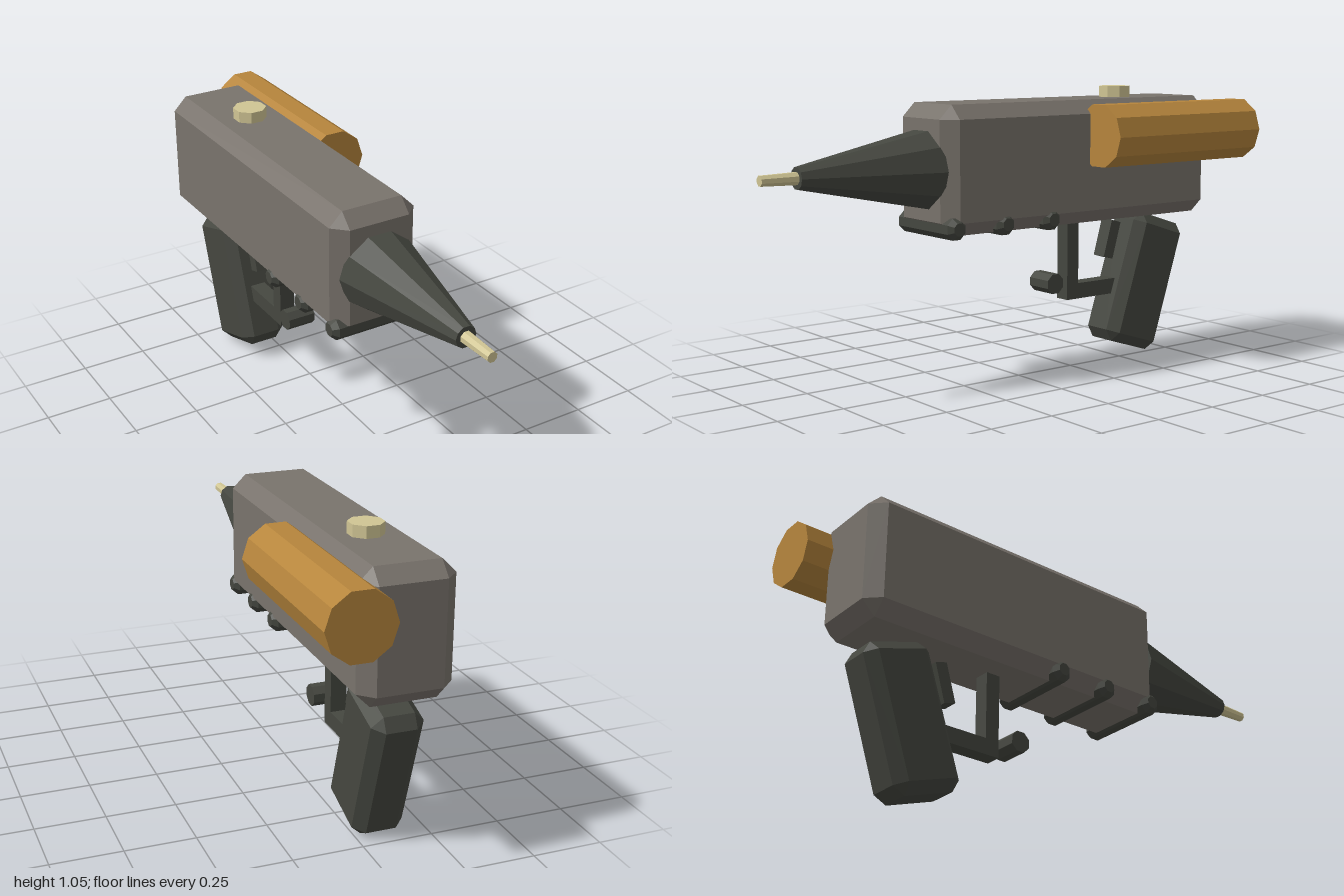
import * as THREE from 'three';
import { ConvexGeometry } from 'three/addons/geometries/ConvexGeometry.js';

const CX = -0.081; // centre line of the tool; the canister hangs off its left side

const mat = (name, color) => new THREE.MeshStandardMaterial({ name, color, flatShading: true });

// Box with every edge and corner cut by a flat chamfer
function chamferBox(w, h, d, c) {
  const pts = [];
  for (const sx of [-1, 1]) for (const sy of [-1, 1]) for (const sz of [-1, 1]) {
    const x = w / 2, y = h / 2, z = d / 2;
    pts.push(
      new THREE.Vector3(sx * x, sy * (y - c), sz * (z - c)),
      new THREE.Vector3(sx * (x - c), sy * y, sz * (z - c)),
      new THREE.Vector3(sx * (x - c), sy * (y - c), sz * z));
  }
  return new ConvexGeometry(pts);
}

// Faceted turned solid from [radius, height] pairs, around y
function turned(profile, sides, start) {
  return new THREE.LatheGeometry(profile.map(([r, y]) => new THREE.Vector2(r, y)), sides, start);
}

export function createModel() {
  const grey = mat('bodyGrey', 0x79736c);
  const dark = mat('darkGunmetal', 0x454740);
  const amber = mat('amber', 0xb6853c);
  const brass = mat('paleBrass', 0xd0c594);

  const model = new THREE.Group();
  model.name = 'pistolTool';
  const add = (name, geometry, material, x, y, z) => {
    const mesh = new THREE.Mesh(geometry, material);
    mesh.name = name;
    mesh.position.set(x, y, z);
    model.add(mesh);
    return mesh;
  };

  // Main housing
  add('body', chamferBox(0.33, 0.46, 1.27, 0.05), grey, CX, 0.785, -0.265);

  // Tapered nose and its thin tip
  const nose = turned([[0, 0], [0.147, 0], [0.039, 0.51], [0, 0.51]], 10, Math.PI / 2);
  add('noseCone', nose.rotateX(Math.PI / 2), dark, CX, 0.785, 0.355);
  const tip = turned([[0, 0], [0.023, 0], [0.019, 0.14], [0, 0.14]], 8, Math.PI / 8);
  add('noseTip', tip.rotateX(Math.PI / 2), brass, CX, 0.785, 0.86);

  // Side canister
  const can = turned([[0, 0], [0.12, 0], [0.12, 0.73], [0, 0.73]], 10, Math.PI / 2);
  add('canister', can.rotateX(Math.PI / 2), amber, 0.131, 0.886, -1);

  // Top button
  const button = turned([[0, 0], [0.062, 0], [0.062, 0.052], [0, 0.052]], 8, Math.PI / 8);
  add('topButton', button, brass, CX, 1.005, -0.534);

  // Cross rods along the underside
  for (const z of [0.328, 0.115, -0.096]) {
    const rod = turned([[0, -0.172], [0.024, -0.172], [0.042, -0.152],
      [0.042, 0.152], [0.024, 0.172], [0, 0.172]], 8, Math.PI / 8);
    add('crossRod', rod.rotateZ(Math.PI / 2), dark, CX, 0.586, z);
  }

  // Raked grip
  const grip = add('grip', chamferBox(0.185, 0.522, 0.268, 0.038), dark, CX, 0.28, -0.652);
  grip.rotation.x = -Math.PI / 10;

  // Trigger guard and trigger
  add('guardPost', new THREE.BoxGeometry(0.06, 0.33, 0.055), dark, CX, 0.41, -0.303);
  add('guardBar', new THREE.BoxGeometry(0.06, 0.06, 0.28), dark, CX, 0.275, -0.415);
  const trigger = add('trigger', new THREE.BoxGeometry(0.06, 0.147, 0.047), dark, CX, 0.46, -0.504);
  trigger.rotation.x = 0.28;
  trigger.rotation.x *= -1;

  // Small peg ahead of the guard
  const peg = turned([[0, -0.054], [0.04, -0.054], [0.04, 0.054], [0, 0.054]], 8, Math.PI / 8);
  add('frontPeg', peg.rotateZ(Math.PI / 2), dark, CX, 0.32, -0.198);

  return model;
}
